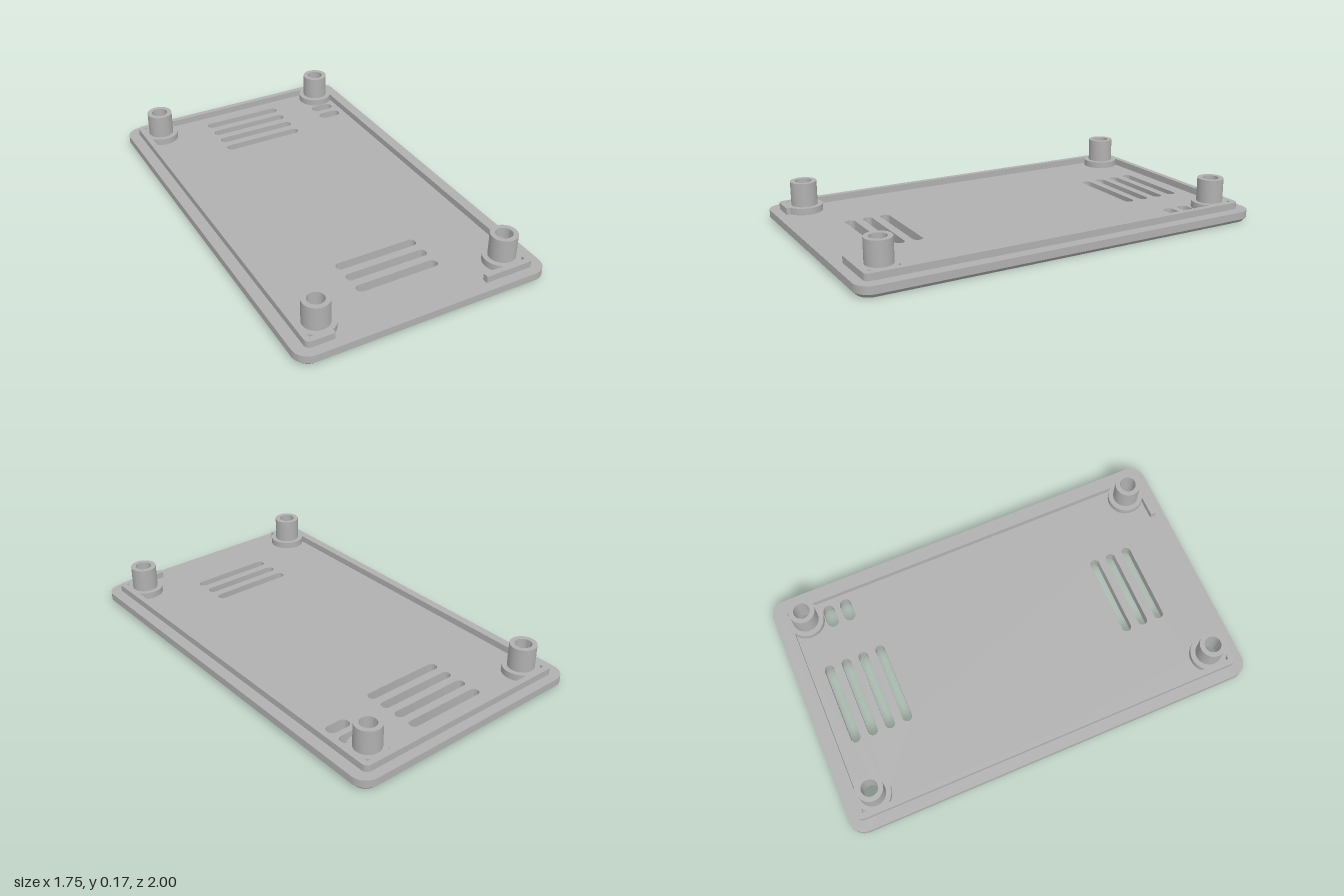
import * as THREE from 'three';
import { toCreasedNormals } from 'three/addons/utils/BufferGeometryUtils.js';

// Plate half width, half length, corner radius, top height
const W = 0.53, L = 0.875, R = 0.065, TOP = 0.047;
const CHAMFER = 0.015;
const POST_X = 0.4, POST_Z = 0.747;
const RECESS_R = 0.053, BORE_R = 0.034, PAD_R = 0.075, POST_R = 0.054;
const LIP_TOP = 0.075, POST_TOP = 0.174;

// Outline running along a slot (or any rounded rectangle), centred on x, z
function rounded(path, x, z, hw, hl, r) {
  path.absarc(x + hw - r, z + hl - r, r, 0, Math.PI / 2);
  path.absarc(x - hw + r, z + hl - r, r, Math.PI / 2, Math.PI);
  path.absarc(x - hw + r, z - hl + r, r, Math.PI, Math.PI * 1.5);
  path.absarc(x + hw - r, z - hl + r, r, Math.PI * 1.5, Math.PI * 2);
  path.closePath();
  return path;
}

// Extrude a plan shape (shape y becomes +z) so that its upper face is at y = top
function slab(shape, top, depth, steps = 1) {
  const geo = new THREE.ExtrudeGeometry(shape, { depth, steps, bevelEnabled: false, curveSegments: 10 });
  geo.rotateX(Math.PI / 2);
  geo.translate(0, top, 0);
  return geo;
}

function plateGeometry() {
  const shape = rounded(new THREE.Shape(), 0, 0, W, L, R);
  const slot = (x, z, hw, hl) => shape.holes.push(rounded(new THREE.Path(), x, z, hw, hl, hl - 0.0005));

  // Long ventilation slots at both ends
  for (let i = 0; i < 4; i++) slot(0.003, -0.732 + i * 0.075, 0.177, 0.02);
  for (let i = 0; i < 3; i++) slot(0.003, 0.49 + i * 0.075, 0.177, 0.02);
  // Two short slots beside a post
  for (const z of [-0.645, -0.57]) slot(0.385, z, 0.05, 0.024);
  // Screw head recesses
  for (const x of [-POST_X, POST_X]) for (const z of [-POST_Z, POST_Z]) {
    const hole = new THREE.Path();
    hole.absarc(x, z, RECESS_R, 0, Math.PI * 2);
    shape.holes.push(hole);
  }

  // Pull the lowest ring of the outer edge inward to form the chamfer
  const geo = slab(shape, TOP, TOP, 3);
  const pos = geo.attributes.position;
  for (let i = 0; i < pos.count; i++) {
    if (pos.getY(i) > 0.001) continue;
    const x = pos.getX(i), z = pos.getZ(i);
    const cx = THREE.MathUtils.clamp(x, R - W, W - R);
    const cz = THREE.MathUtils.clamp(z, R - L, L - R);
    if (Math.hypot(x - cx, z - cz) < R - 0.005) continue;
    const k = (R - CHAMFER) / R;
    pos.setX(i, cx + (x - cx) * k);
    pos.setZ(i, cz + (z - cz) * k);
  }
  return toCreasedNormals(geo, 0.5);
}

// Raised lip around three sides, with short returns on the fourth
function lipGeometry() {
  const w = 0.483, l = 0.834, t = 0.024, c = 0.025;
  const s = new THREE.Shape();
  s.moveTo(0.27, l);
  s.lineTo(w - c, l);
  s.quadraticCurveTo(w, l, w, l - c);
  s.lineTo(w, c - l);
  s.quadraticCurveTo(w, -l, w - c, -l);
  s.lineTo(c - w, -l);
  s.quadraticCurveTo(-w, -l, -w, c - l);
  s.lineTo(-w, l - c);
  s.quadraticCurveTo(-w, l, c - w, l);
  s.lineTo(-0.37, l);
  s.lineTo(-0.37, l - t);
  s.lineTo(t - w, l - t);
  s.lineTo(t - w, t - l);
  s.lineTo(w - t, t - l);
  s.lineTo(w - t, l - t);
  s.lineTo(0.27, l - t);
  s.closePath();
  return toCreasedNormals(slab(s, LIP_TOP, LIP_TOP - TOP + 0.001), 0.5);
}

// Hollow screw post on a round pad, recessed from below
function postGeometry() {
  const profile = [
    [RECESS_R, TOP - 0.001], [PAD_R, TOP - 0.001], [PAD_R, LIP_TOP], [POST_R, LIP_TOP],
    [POST_R, POST_TOP], [BORE_R, POST_TOP], [BORE_R, 0.062], [RECESS_R, 0.062], [RECESS_R, TOP - 0.001],
  ].map(([x, y]) => new THREE.Vector2(x, y));
  return toCreasedNormals(new THREE.LatheGeometry(profile, 32), 0.5);
}

export function createModel() {
  const grey = new THREE.MeshStandardMaterial({ color: 0xb0b0b0 });
  grey.name = 'grey plastic';

  const model = new THREE.Group();
  model.name = 'caseLid';
  const add = (name, geo) => {
    const mesh = new THREE.Mesh(geo, grey);
    mesh.name = name;
    model.add(mesh);
    return mesh;
  };

  add('basePlate', plateGeometry());
  add('rimLip', lipGeometry());
  const post = postGeometry();
  for (const x of [-POST_X, POST_X]) for (const z of [-POST_Z, POST_Z])
    add('screwPost', post).position.set(x, 0, z);

  // The lid lies turned on the ground
  model.rotation.y = Math.PI / 6;
  const root = new THREE.Group();
  root.name = 'model';
  root.add(model);
  return root;
}
